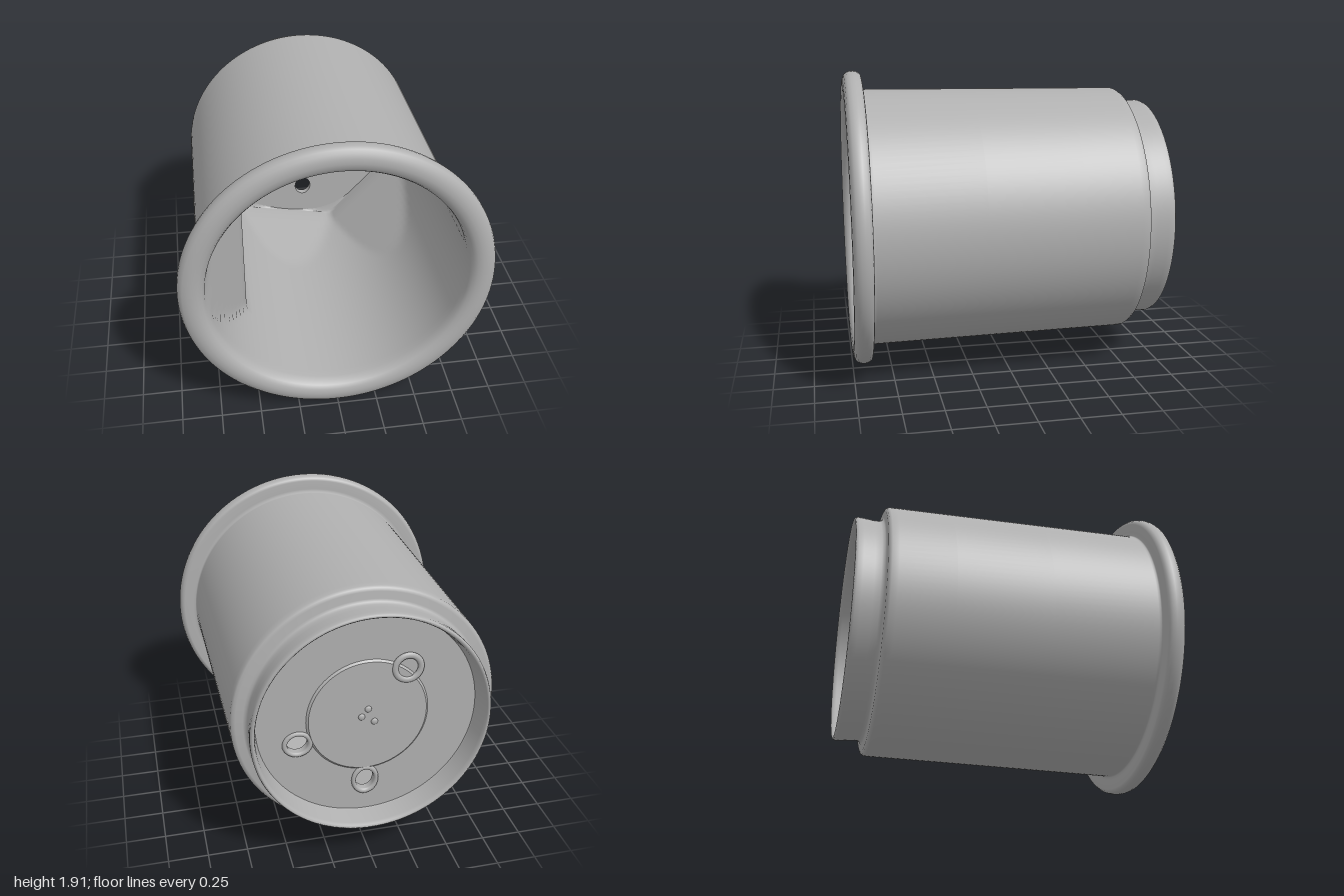
import * as THREE from 'three';
import { mergeVertices } from 'three/addons/utils/BufferGeometryUtils.js';

const CENTRE_Y = 0.96;

export function createModel() {
  const grey = new THREE.MeshStandardMaterial({ color: 0xb0b0b0 });
  const cup = new THREE.Group();
  cup.name = 'cup';
  cup.position.y = CENTRE_Y;

  const add = (name, geometry, x = 0, y = 0, z = 0) => {
    const mesh = new THREE.Mesh(geometry, grey);
    mesh.name = name;
    mesh.position.set(x, y, z);
    cup.add(mesh);
    return mesh;
  };

  // Profile pairs of radius and z: recess, foot, outer wall and rolled rim
  const profile = [
    [0.68, -0.85], [0.685, -0.86], [0.70, -0.97], [0.707, -0.99], [0.715, -1], [0.725, -0.995],
    [0.731, -0.98], [0.73, -0.95], [0.723, -0.88], [0.722, -0.84], [0.73, -0.822], [0.745, -0.815],
    [0.79, -0.812], [0.808, -0.805], [0.817, -0.79], [0.819, -0.75], [0.822, -0.4], [0.828, 0.2],
    [0.835, 0.86], [0.836, 0.873], [0.842, 0.879], [0.86, 0.88], [0.92, 0.88], [0.936, 0.885],
    [0.948, 0.9], [0.954, 0.925], [0.952, 0.95], [0.943, 0.972], [0.925, 0.988], [0.895, 0.997],
    [0.865, 1], [0.835, 0.993], [0.81, 0.978], [0.795, 0.955], [0.788, 0.92],
  ];
  const outerCount = profile.length;

  // Inner wall, running back to the floor
  for (let i = 1; i <= 34; i++) {
    const t = i / 34;
    profile.push([0.788 - 0.025 * t, 0.92 - 1.69 * t]);
  }
  profile.push([0.755, -0.795], [0.735, -0.808], [0.68, -0.811]);

  const wall = new THREE.LatheGeometry(profile.map(([r, z]) => new THREE.Vector2(r, z)), 128);
  wall.rotateX(Math.PI / 2);
  const rows = profile.length;
  const pos = wall.attributes.position;
  const clamp01 = THREE.MathUtils.clamp;

  // Flattened swellings of the inner wall: each pushes points back to a chord
  const swellings = [
    { angle: Math.PI, start: 0.95, end: 0.42, from: 0.80, to: 0.53 },
    { angle: -0.75, start: 0.1, end: -0.72, from: 0.79, to: 0.66 },
    { angle: -1.75, start: -0.1, end: -0.75, from: 0.79, to: 0.68 },
  ];
  for (let i = 0; i < pos.count; i++) {
    if (i % rows < outerCount) continue;
    for (const s of swellings) {
      const nx = Math.cos(s.angle), ny = Math.sin(s.angle);
      const x = pos.getX(i), y = pos.getY(i), z = pos.getZ(i);
      const t = clamp01((s.start - z) / (s.start - s.end), 0, 1);
      const excess = x * nx + y * ny - THREE.MathUtils.lerp(s.from, s.to, t);
      if (excess > 0) pos.setXY(i, x - nx * excess, y - ny * excess);
    }
  }
  wall.deleteAttribute('uv');
  wall.deleteAttribute('normal');
  const smoothWall = mergeVertices(wall, 1e-5);
  smoothWall.computeVertexNormals();
  add('cupWall', smoothWall);

  // Recessed floor with two drain holes
  const holes = [
    { x: 0.43, y: -0.14, rx: 0.063, ry: 0.058 },
    { x: 0.01, y: -0.46, rx: 0.058, ry: 0.07 },
  ];
  const disc = new THREE.Shape().absarc(0, 0, 0.695, 0, Math.PI * 2);
  for (const h of holes) {
    disc.holes.push(new THREE.Path().absellipse(h.x, h.y, h.rx, h.ry, 0, Math.PI * 2, true));
  }
  add('floor', new THREE.ExtrudeGeometry(disc, { depth: 0.04, bevelEnabled: false, curveSegments: 48 }), 0, 0, -0.85);

  // Raised collars around the holes, on the underside
  for (const h of holes) {
    const collar = add('holeCollar', new THREE.TorusGeometry(1.25, 0.25, 10, 32), h.x, h.y, -0.85);
    collar.scale.set(h.rx, h.ry, 0.06);
  }

  // Shallow raised disc and blind boss on the underside
  const pad = new THREE.CylinderGeometry(0.38, 0.365, 0.014, 64);
  pad.rotateX(Math.PI / 2);
  add('basePad', pad, 0, 0, -0.855);
  const boss = add('blindBoss', new THREE.TorusGeometry(0.08, 0.02, 10, 32), -0.24, 0.3, -0.858);
  boss.scale.z = 0.8;

  // Small moulding marks in the middle of the base
  for (const [x, y] of [[0.04, 0], [0, 0.05], [-0.04, -0.04]]) {
    const mark = add('mouldMark', new THREE.SphereGeometry(0.022, 12, 8), x, y, -0.861);
    mark.scale.z = 0.5;
  }

  const model = new THREE.Group();
  model.name = 'model';
  model.add(cup);
  return model;
}
